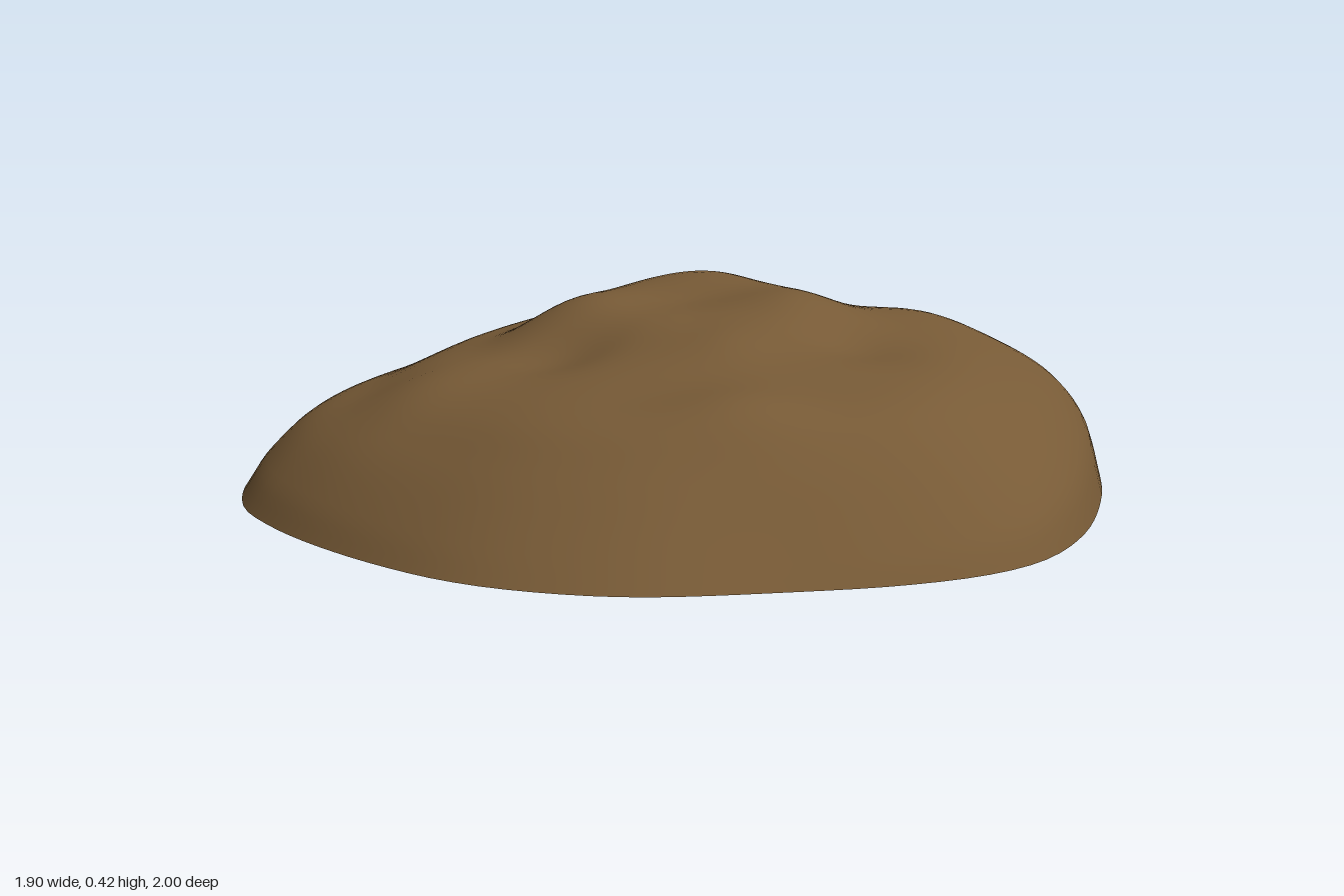
import * as THREE from 'three';

// Plan outline of the mound, as x, z
const OUTLINE = [
  [0, -1], [0.2, -0.985], [0.4, -0.92], [0.6, -0.8], [0.8, -0.6], [0.9, -0.4], [0.945, -0.15],
  [0.93, 0.05], [0.89, 0.28], [0.8, 0.57], [0.69, 0.76], [0.57, 0.86], [0.4, 0.93], [0.2, 0.97],
  [-0.1, 1], [-0.3, 0.96], [-0.45, 0.89], [-0.6, 0.77], [-0.75, 0.61], [-0.85, 0.47],
  [-0.92, 0.33], [-0.95, 0.12], [-0.93, -0.05], [-0.87, -0.27], [-0.8, -0.44], [-0.7, -0.61],
  [-0.6, -0.73], [-0.4, -0.89], [-0.2, -0.975],
];

// Height from centre (0) to rim (1) in the four main directions
const profile = (pts) => (s) => {
  let i = 0;
  while (i < pts.length - 2 && s > pts[i + 1][0]) i++;
  const [a, b] = [pts[i], pts[i + 1]];
  const p = pts[Math.max(i - 1, 0)], n = pts[Math.min(i + 2, pts.length - 1)];
  const t = (s - a[0]) / (b[0] - a[0]), w = b[0] - a[0];
  const ma = (w * (b[1] - p[1])) / (b[0] - p[0]), mb = (w * (n[1] - a[1])) / (n[0] - a[0]);
  const t2 = t * t, t3 = t2 * t;
  return (2 * t3 - 3 * t2 + 1) * a[1] + (t3 - 2 * t2 + t) * ma + (3 * t2 - 2 * t3) * b[1] + (t3 - t2) * mb;
};
const SIDES = {
  left: profile([[0, 0.37], [0.25, 0.38], [0.42, 0.345], [0.65, 0.31], [0.8, 0.255], [0.9, 0.19], [0.97, 0.1], [1, 0]]),
  right: profile([[0, 0.37], [0.2, 0.365], [0.42, 0.29], [0.57, 0.26], [0.7, 0.21], [0.85, 0.155], [0.95, 0.07], [1, 0]]),
  front: profile([[0, 0.37], [0.15, 0.37], [0.35, 0.325], [0.55, 0.28], [0.7, 0.24], [0.8, 0.17], [0.9, 0.085], [1, 0]]),
  back: profile([[0, 0.37], [0.25, 0.385], [0.45, 0.31], [0.6, 0.27], [0.75, 0.165], [0.9, 0.07], [1, 0]]),
};

// Soft lumps and hollows: x, z, height, radius
const LUMPS = [
  [-0.25, -0.02, 0.035, 0.15], [0.07, -0.22, 0.03, 0.16], [0.27, 0.02, 0.025, 0.15],
  [-0.2, -0.58, 0.03, 0.14], [0.45, -0.5, -0.04, 0.15], [0.25, -0.3, -0.02, 0.1],
  [-0.25, 0.22, -0.03, 0.12], [0.1, 0.64, 0.03, 0.14], [0.36, 0.22, -0.025, 0.12],
  [-0.57, 0.33, 0.025, 0.13], [0.55, -0.15, 0.015, 0.14], [0.08, 0.32, 0.02, 0.11],
];

function heightAt(x, z, s) {
  const r2 = x * x + z * z;
  if (s >= 1) return 0;
  let h = 0.37;
  if (r2 > 0) {
    const wx = (x * x) / r2;
    h = wx * SIDES[x > 0 ? 'left' : 'right'](s) + (1 - wx) * SIDES[z > 0 ? 'front' : 'back'](s);
  }
  const fade = 1 - s ** 6;
  for (const [lx, lz, a, r] of LUMPS) h += fade * a * Math.exp(-((x - lx) ** 2 + (z - lz) ** 2) / (r * r));
  return Math.max(h, 0);
}

export function createModel() {
  const group = new THREE.Group();
  group.name = 'dirtMound';

  const segments = 112, rings = 44;
  const curve = new THREE.CatmullRomCurve3(OUTLINE.map(([x, z]) => new THREE.Vector3(x, 0, z)), true);
  const rim = curve.getSpacedPoints(segments).slice(0, segments);

  // Concentric rings around one centre vertex, closer together near the rim
  const positions = [0, heightAt(0, 0, 0), 0];
  const index = [];
  for (let r = 1; r <= rings; r++) {
    const s = r === rings ? 1 : 1 - (1 - r / rings) ** 1.3;
    for (let i = 0; i < segments; i++) {
      const x = rim[i].x * s, z = rim[i].z * s;
      positions.push(x, heightAt(x, z, s), z);
      const j = (i + 1) % segments;
      const outer = 1 + (r - 1) * segments, inner = outer - segments;
      if (r === 1) index.push(0, outer + j, outer + i);
      else index.push(inner + i, inner + j, outer + j, inner + i, outer + j, outer + i);
    }
  }
  const geometry = new THREE.BufferGeometry();
  geometry.setAttribute('position', new THREE.Float32BufferAttribute(positions, 3));
  geometry.setIndex(index);
  geometry.computeVertexNormals();

  // Open shell, hollow underneath
  const material = new THREE.MeshStandardMaterial({ color: 0x775a36, side: THREE.DoubleSide });
  const mound = new THREE.Mesh(geometry, material);
  mound.name = 'mound';
  group.add(mound);
  return group;
}
